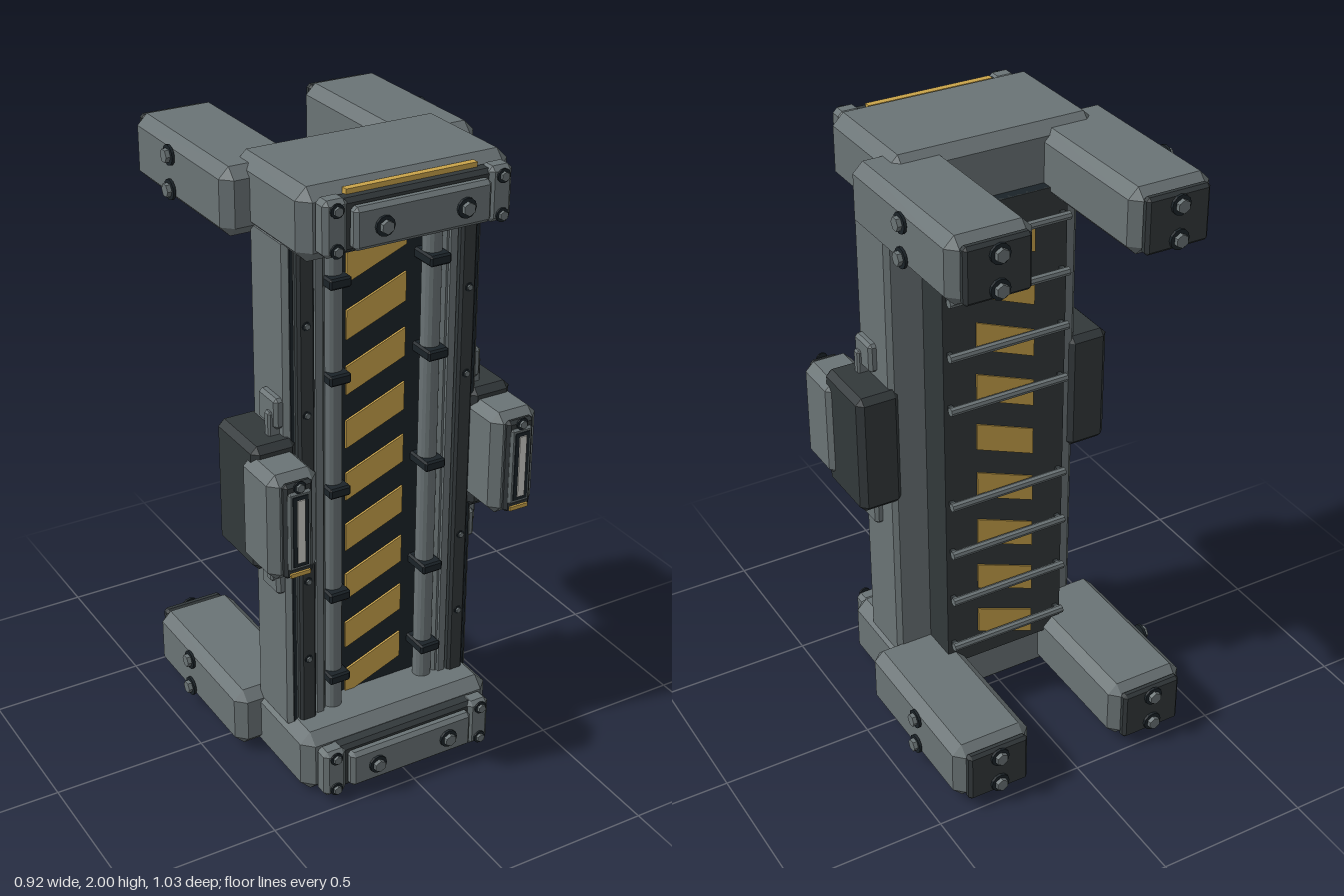
import * as THREE from 'three';
import { ConvexGeometry } from 'three/addons/geometries/ConvexGeometry.js';

const paint = (color) => new THREE.MeshStandardMaterial({ color, flatShading: true });
const GREY = paint(0x6a7375), DARK = paint(0x32383a), BLACK = paint(0x1b2328);
const GOLD = paint(0xc9a34a), LIGHT = paint(0xd0d0ca);

// Box given by its extents, with all edges chamfered by c
function block(parent, name, mat, [x0, x1], [y0, y1], [z0, z1], c = 0) {
  const w = Math.abs(x1 - x0) / 2, h = Math.abs(y1 - y0) / 2, d = Math.abs(z1 - z0) / 2;
  let geo;
  if (c > 0) {
    const pts = [];
    for (const i of [-1, 1]) for (const j of [-1, 1]) for (const k of [-1, 1]) {
      pts.push(new THREE.Vector3(i * w, j * (h - c), k * (d - c)));
      pts.push(new THREE.Vector3(i * (w - c), j * h, k * (d - c)));
      pts.push(new THREE.Vector3(i * (w - c), j * (h - c), k * d));
    }
    geo = new ConvexGeometry(pts);
  } else geo = new THREE.BoxGeometry(2 * w, 2 * h, 2 * d);
  const mesh = new THREE.Mesh(geo, mat);
  mesh.name = name;
  mesh.position.set((x0 + x1) / 2, (y0 + y1) / 2, (z0 + z1) / 2);
  parent.add(mesh);
  return mesh;
}

// Washer and hexagonal head, pointing along dir
function bolt(parent, pos, dir, r = 0.02) {
  const g = new THREE.Group();
  g.name = 'bolt';
  const washer = new THREE.Mesh(new THREE.CylinderGeometry(r * 1.5, r * 1.5, r * 0.4, 12), BLACK);
  const head = new THREE.Mesh(new THREE.CylinderGeometry(r, r, r * 0.7, 6), GREY);
  washer.name = 'washer';
  head.name = 'boltHead';
  head.position.y = r * 0.5;
  g.add(washer, head);
  g.position.set(...pos);
  g.quaternion.setFromUnitVectors(new THREE.Vector3(0, 1, 0), new THREE.Vector3(...dir));
  parent.add(g);
}

function rod(parent, name, mat, r, len, pos, sides = 12) {
  const m = new THREE.Mesh(new THREE.CylinderGeometry(r, r, len, sides), mat);
  m.name = name;
  m.position.set(...pos);
  parent.add(m);
  return m;
}

// Slanted hazard stripes, showing on both faces of the spine
function stripes(parent, z, depth) {
  const pitch = 0.178, rise = 0.08, half = 0.046;
  for (let k = -4; k <= 4; k++) {
    const s = new THREE.Shape();
    s.moveTo(-0.1, -half - rise / 2);
    s.lineTo(0.1, -half + rise / 2);
    s.lineTo(0.1, half + rise / 2);
    s.lineTo(-0.1, half - rise / 2);
    const m = new THREE.Mesh(new THREE.ExtrudeGeometry(s, { depth, bevelEnabled: false }), GOLD);
    m.name = 'hazardStripe';
    m.position.set(0, 1 + k * pitch, z);
    parent.add(m);
  }
}

// One end: cap, front plate and two rear arms; v = +1 top, -1 bottom
function endUnit(v) {
  const g = new THREE.Group();
  g.name = v > 0 ? 'topEnd' : 'bottomEnd';
  const Y = (a, b) => [1 + v * a, 1 + v * b];
  block(g, 'cap', GREY, [-0.34, 0.34], Y(0.785, 1), [0, 0.41], 0.035);
  block(g, 'frontBacking', DARK, [-0.26, 0.26], Y(0.82, 0.975), [0.4, 0.455], 0.012);
  block(g, 'goldTrim', GOLD, [-0.21, 0.21], Y(0.97, 0.99), [0.4, 0.422]);
  block(g, 'frontPlate', GREY, [-0.22, 0.22], Y(0.833, 0.958), [0.45, 0.49], 0.012);
  for (const s of [-1, 1]) {
    bolt(g, [s * 0.13, 1 + v * 0.895, 0.494], [0, 0, 1]);
    block(g, 'plateClamp', GREY, [s * 0.225, s * 0.302], Y(0.818, 0.982), [0.405, 0.467], 0.014);
    for (const y of [0.84, 0.955]) bolt(g, [s * 0.265, 1 + v * y, 0.471], [0, 0, 1], 0.014);
    // rear arm with dark end plate
    block(g, 'arm', GREY, [s * 0.152, s * 0.42], Y(0.775, 0.98), [-0.468, 0.12], 0.032);
    block(g, 'armEndPlate', DARK, [s * 0.18, s * 0.39], Y(0.79, 0.965), [-0.493, -0.46], 0.01);
    for (const y of [0.823, 0.928]) {
      bolt(g, [s * 0.285, 1 + v * y, -0.498], [0, 0, -1], 0.021);
      bolt(g, [s * 0.428, 1 + v * y, -0.21], [s, 0, 0], 0.021);
    }
  }
  return g;
}

// Side module with front lamp; s = side sign
function sideModule(s) {
  const g = new THREE.Group();
  g.name = s > 0 ? 'leftModule' : 'rightModule';
  const X = (a, b) => [s * a, s * b];
  block(g, 'moduleBack', DARK, X(0.3, 0.445), [0.8, 1.21], [0.07, 0.31], 0.02);
  block(g, 'moduleHousing', GREY, X(0.3, 0.46), [0.833, 1.177], [0.245, 0.438], 0.028);
  block(g, 'lampBezel', DARK, X(0.333, 0.427), [0.85, 1.16], [0.43, 0.457], 0.01);
  block(g, 'lampFrame', GREY, X(0.342, 0.418), [0.878, 1.135], [0.44, 0.464], 0.007);
  block(g, 'lampRecess', BLACK, X(0.355, 0.405), [0.892, 1.122], [0.45, 0.467]);
  block(g, 'lamp', LIGHT, X(0.368, 0.392), [0.905, 1.11], [0.45, 0.471]);
  block(g, 'lampTrim', GOLD, X(0.348, 0.412), [0.857, 0.87], [0.45, 0.464]);
  bolt(g, [s * 0.38, 1.148, 0.46], [0, 0, 1], 0.013);
  // cable brackets above and below
  for (const v of [-1, 1]) {
    block(g, 'cableBracket', GREY, X(0.32, 0.354), [1 + v * 0.232, 1 + v * 0.33], [0.168, 0.272], 0.01);
    block(g, 'cableLink', GREY, X(0.325, 0.366), [1 + v * 0.17, 1 + v * 0.285], [0.225, 0.255], 0.006);
  }
  return g;
}

// Column: dark spine, side rails, tubes, stripes and back rungs
function column() {
  const g = new THREE.Group();
  g.name = 'column';
  block(g, 'spine', BLACK, [-0.21, 0.21], [0.18, 1.82], [-0.033, 0.235]);
  block(g, 'spineBack', DARK, [-0.212, 0.212], [0.18, 1.82], [-0.036, 0.088]);
  stripes(g, 0.23, 0.012);
  stripes(g, -0.041, 0.012);
  for (const s of [-1, 1]) {
    const X = (a, b) => [s * a, s * b];
    block(g, 'sideRail', GREY, X(0.19, 0.33), [0.18, 1.82], [0.085, 0.29], 0.015);
    block(g, 'innerRail', GREY, X(0.212, 0.236), [0.18, 1.82], [0.22, 0.3]);
    block(g, 'darkStrip', DARK, X(0.243, 0.298), [0.18, 1.82], [0.25, 0.312], 0.008);
    block(g, 'outerGroove', BLACK, X(0.303, 0.314), [0.18, 1.82], [0.25, 0.293]);
    for (const y of [0.44, 0.72, 1.28, 1.56]) bolt(g, [s * 0.272, y, 0.313], [0, 0, 1], 0.009);
    // tube with clips
    rod(g, 'tube', GREY, 0.03, 1.64, [s * 0.166, 1, 0.272], 16);
    for (const y of [0.335, 0.635, 1, 1.37, 1.67])
      block(g, 'tubeClip', BLACK, X(0.13, 0.202), [y - 0.017, y + 0.017], [0.22, 0.325], 0.006);
  }
  for (const d of [0.175, 0.36, 0.545, 0.73]) for (const v of [-1, 1]) {
    const y = 1 + v * d;
    rod(g, 'backRung', GREY, 0.014, 0.41, [0, y, -0.062], 8).rotation.z = Math.PI / 2;
    for (const s of [-1, 1])
      block(g, 'rungMount', DARK, [s * 0.185, s * 0.2], [y - 0.007, y + 0.007], [-0.06, -0.03]);
  }
  return g;
}

export function createModel() {
  const model = new THREE.Group();
  model.name = 'barrierColumn';
  model.add(column(), endUnit(1), endUnit(-1), sideModule(1), sideModule(-1));
  return model;
}
